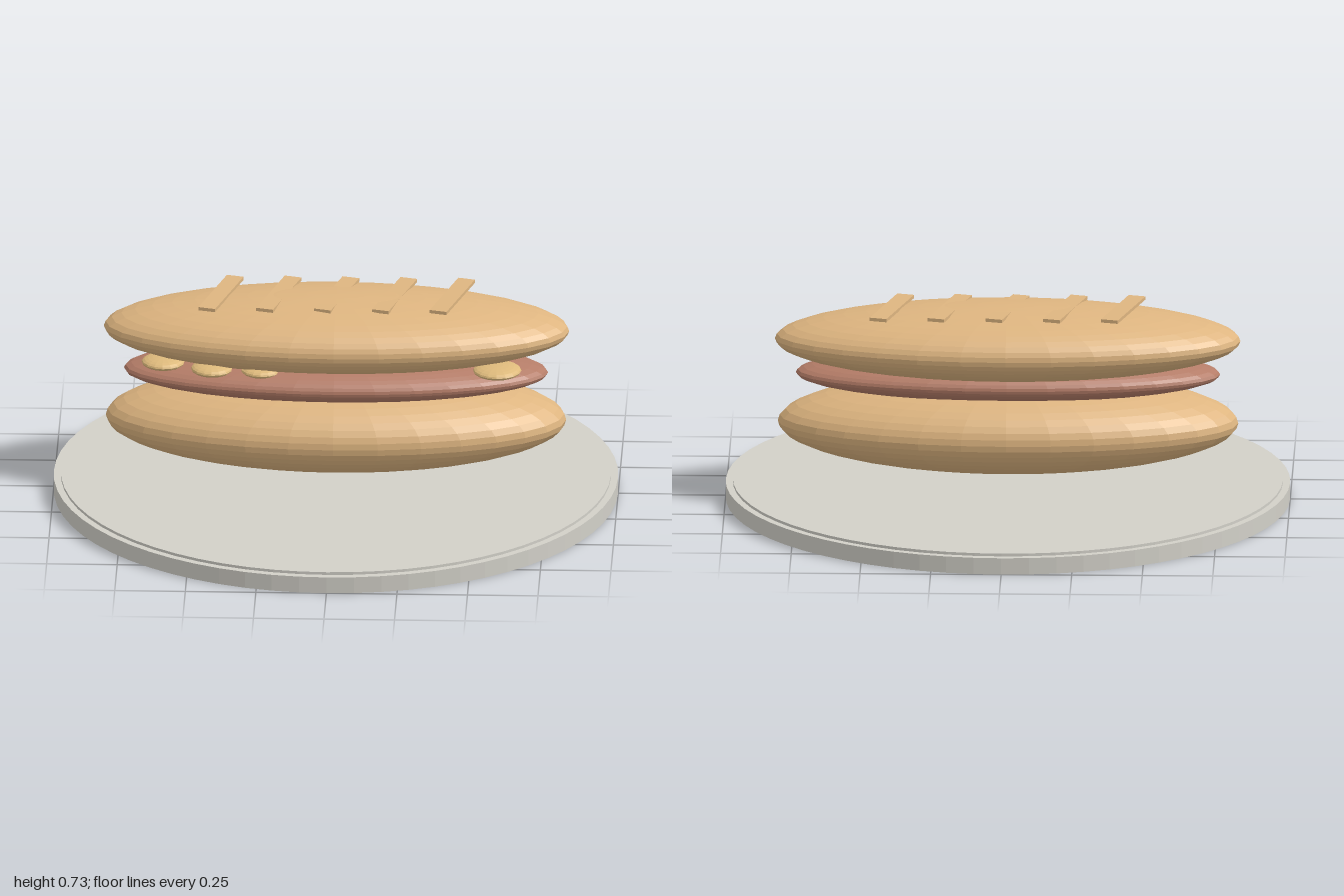
import * as THREE from 'three';

const flat = (name, color) => {
  const m = new THREE.MeshStandardMaterial({ color });
  m.name = name;
  m.flatShading = true;
  return m;
};

export function createModel() {
  const group = new THREE.Group();
  const bread = flat('bread', 0xdeb580);
  const meat = flat('meat', 0xb57d68);
  const onion = flat('onion', 0xdeba7c);
  const ceramic = flat('ceramic', 0xd2d0c8);

  const add = (name, geometry, material, x, y, z) => {
    const mesh = new THREE.Mesh(geometry, material);
    mesh.name = name;
    mesh.position.set(x, y, z);
    group.add(mesh);
    return mesh;
  };
  const ellipsoid = (name, material, [rx, ry, rz], [x, y, z], segments = 32) =>
    add(name, new THREE.SphereGeometry(1, segments, segments * 0.75).scale(rx, ry, rz), material, x, y, z);

  // Round plate with a slightly raised centre
  add('plate', new THREE.CylinderGeometry(1, 1, 0.06, 64), ceramic, 0, 0.03, 0);
  add('plateCentre', new THREE.CylinderGeometry(0.975, 0.975, 0.02, 64), ceramic, 0, 0.06, 0);

  // Stacked bun halves and filling
  ellipsoid('bottomBun', bread, [0.816, 0.17, 0.327], [0, 0.278, 0]);
  ellipsoid('filling', meat, [0.752, 0.08, 0.245], [0, 0.457, 0]);
  ellipsoid('topBun', bread, [0.825, 0.13, 0.303], [0, 0.595, -0.052]);

  // Flat slices peeking out between filling and top bun
  const slices = [[-0.61, 0.065, 0.077], [-0.435, 0.125, 0.075], [-0.26, 0.13, 0.075], [0.575, 0.11, 0.086]];
  for (const [x, z, r] of slices) {
    ellipsoid('slice', onion, [r, 0.021, r], [x, 0.506, z], 16);
  }

  // Slanted crust strips, partly sunk into the top bun
  for (let i = -2; i <= 2; i++) {
    const strip = add('crustStrip', new THREE.BoxGeometry(0.062, 0.012, 0.328), bread, i * 0.205, 0.714, -0.07);
    strip.rotation.y = -0.28;
  }
  return group;
}
